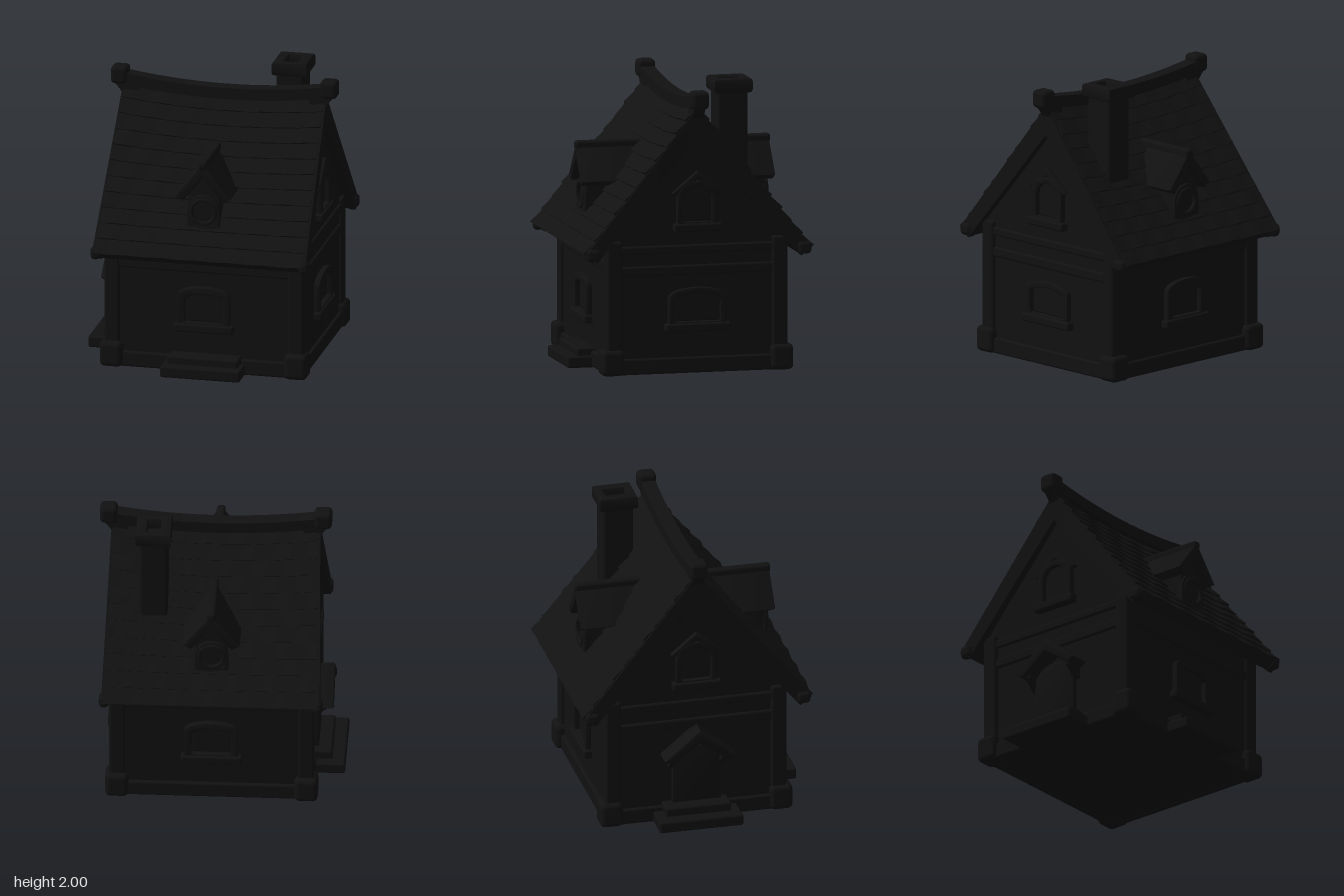
import * as THREE from 'three';
import { toCreasedNormals } from 'three/addons/utils/BufferGeometryUtils.js';
import { RoundedBoxGeometry } from 'three/addons/geometries/RoundedBoxGeometry.js';

const mat = new THREE.MeshStandardMaterial({ color: 0x111111 });

function add(parent, name, geo, x = 0, y = 0, z = 0) {
  const m = new THREE.Mesh(geo, mat);
  m.name = name;
  m.position.set(x, y, z);
  parent.add(m);
  return m;
}
const box = (parent, name, w, h, d, x, y, z, r = 0.015) =>
  add(parent, name, new RoundedBoxGeometry(w, h, d, 2, Math.min(r, w / 2.1, h / 2.1, d / 2.1)), x, y, z);

const polygon = pts => new THREE.Shape(pts.map(p => new THREE.Vector2(...p)));

function extrude(shape, depth, bevel = 0) {
  return toCreasedNormals(new THREE.ExtrudeGeometry(shape, {
    depth, curveSegments: 12, bevelEnabled: bevel > 0,
    bevelSize: bevel, bevelThickness: bevel, bevelOffset: -bevel, bevelSegments: 2,
  }), 0.6);
}

// Opening outline: straight sides with a curved top, from y0 up to y1
function archPath(Kind, half, y0, y1, rise) {
  const p = new Kind();
  p.moveTo(-half, y0);
  p.lineTo(half, y0);
  p.lineTo(half, y1 - rise);
  p.bezierCurveTo(half, y1 - rise * 0.4, half * 0.55, y1, 0, y1);
  p.bezierCurveTo(-half * 0.55, y1, -half, y1 - rise * 0.4, -half, y1 - rise);
  p.closePath();
  return p;
}

// Pitched slab pair, seen end-on as an inverted V
const chevron = (half, eave, apex, t) => polygon([
  [-half, eave], [-half + t * 0.75, eave - t * 0.45], [0, apex - t * 1.4],
  [half - t * 0.75, eave - t * 0.45], [half, eave], [0, apex],
]);

// Window facing +z with its back on z = 0
function makeWindow(name, half, y0, y1, rise, border) {
  const g = new THREE.Group();
  g.name = name;
  const frame = archPath(THREE.Shape, half + border, y0 - 0.03, y1 + border, rise + 0.02);
  frame.holes.push(archPath(THREE.Path, half, y0, y1, rise));
  add(g, 'windowFrame', extrude(frame, 0.03, 0.008), 0, 0, 0.004);
  box(g, 'windowPane', half * 2, y1 - y0, 0.02, 0, (y0 + y1) / 2, -0.002);
  box(g, 'windowSill', (half + border) * 2 + 0.05, 0.06, 0.075, 0, y0 - 0.04, 0.022);
  return g;
}

// Roof shell by moving box vertices: shingle rows step down each slope, the ridge sags
function roofShell(u0, u1, xSegs, rows, lift, drop) {
  const n = 2 * rows - 1;
  const geo = new THREE.BoxGeometry(1, 1, 2, xSegs, 1, 2 * n);
  const p = geo.attributes.position;
  for (let i = 0; i < p.count; i++) {
    const u = u0 + (u1 - u0) * (p.getX(i) + 0.5);
    const k = Math.round(p.getZ(i) * n), a = Math.abs(k), s = Math.sign(k);
    const outer = p.getY(i) > 0, row = Math.floor(a / 2);
    const t = outer ? (row + a % 2) / rows : a / n;
    const up = outer && a % 2 ? lift * (1 + 0.4 * Math.sin(u * 19 + row * 2.1)) : 0;
    const sag = 0.05 * (u * u - 1) * (1 - t);
    const z = outer ? 0.8 * t + up * 0.6 : 0.72 * t;
    const y = outer ? 1.84 - 0.99 * t + up * 0.5 : 1.67 - 0.87 * t - drop * (1 - t * 0.8);
    p.setXYZ(i, u * (0.7 + 0.035 * t), y + sag, s * z);
  }
  return toCreasedNormals(geo, 0.5);
}

function makeDormer() {
  const g = new THREE.Group();
  g.name = 'dormer';
  add(g, 'dormerWall', extrude(polygon([[-0.11, 0.99], [0.11, 0.99], [0.11, 1.29], [0, 1.45], [-0.11, 1.29]]), 0.4), 0, 0, 0.23);
  add(g, 'dormerRoof', extrude(chevron(0.195, 1.27, 1.52, 0.075), 0.5, 0.012), 0, 0, 0.17);
  box(g, 'dormerRidge', 0.06, 0.06, 0.5, 0, 1.5, 0.44, 0.02);
  const frame = archPath(THREE.Shape, 0.115, 1.0, 1.28, 0.12);
  frame.holes.push(new THREE.Path().absarc(0, 1.16, 0.075, 0, Math.PI * 2, true));
  add(g, 'dormerFrame', extrude(frame, 0.02, 0.006), 0, 0, 0.622);
  add(g, 'dormerWindowRing', new THREE.TorusGeometry(0.085, 0.014, 8, 28), 0, 1.16, 0.645);
  return g;
}

export function createModel() {
  const root = new THREE.Group();
  root.name = 'cottage';
  const house = new THREE.Group();
  house.name = 'house';
  house.position.x = 0.048;
  root.add(house);

  // Walls with gable ends
  const walls = polygon([[-0.615, 0.01], [0.615, 0.01], [0.615, 0.93], [0, 1.68], [-0.615, 0.93]]);
  add(house, 'walls', extrude(walls, 1.35), -0.675, 0, 0).rotation.y = Math.PI / 2;

  // Corner posts and their feet
  for (const sx of [-1, 1]) for (const sz of [-1, 1]) {
    box(house, 'cornerPost', 0.11, 0.92, 0.11, sx * 0.647, 0.47, sz * 0.583, 0.02);
    box(house, 'postFoot', 0.16, 0.18, 0.16, sx * 0.648, 0.09, sz * 0.597, 0.035);
  }

  // Plinth and wall beams
  for (const s of [-1, 1]) {
    box(house, 'plinthLong', 1.3, 0.11, 0.05, 0, 0.057, s * 0.615);
    box(house, 'plinthGable', 0.05, 0.11, 1.2, s * 0.675, 0.057, 0);
    box(house, 'wallBeam', 1.3, 0.07, 0.05, 0, 0.745, s * 0.605);
    box(house, 'gableBeamLow', 0.05, 0.07, 1.2, s * 0.668, 0.715, 0);
    box(house, 'gableBeamHigh', 0.05, 0.06, 1.2, s * 0.668, 0.86, 0);
  }

  // Shingled roof, bargeboards and eave ends
  add(house, 'roof', roofShell(-1, 1, 40, 11, 0.018, 0));
  for (const s of [-1, 1]) {
    const u = s * 0.985;
    add(house, 'bargeboard', roofShell(u - 0.035, u + 0.035, 1, 4, 0, 0.035));
    for (const sz of [-1, 1]) box(house, 'eaveEnd', 0.07, 0.09, 0.1, s * 0.731, 0.848, sz * 0.745, 0.03);
  }

  // Sagging ridge beam with raised ends
  const ridge = new THREE.BoxGeometry(1.44, 0.08, 0.1, 28, 1, 1);
  const rp = ridge.attributes.position;
  for (let i = 0; i < rp.count; i++) rp.setY(i, rp.getY(i) + 1.822 + 0.055 * (rp.getX(i) / 0.7) ** 2);
  add(house, 'ridgeBeam', toCreasedNormals(ridge, 0.6));
  for (const s of [-1, 1]) {
    box(house, 'ridgeEnd', 0.12, 0.125, 0.125, s * 0.735, 1.897, 0, 0.03);
    const neck = add(house, 'ridgeBracket', extrude(polygon([[0.6, 1.72], [0.7, 1.74], [0.725, 1.79], [0.775, 1.85], [0.6, 1.86]]), 0.08), 0, 0, s * -0.04);
    if (s < 0) neck.rotation.y = Math.PI;
  }

  // Chimney with a hollow cap
  box(house, 'chimneyShaft', 0.195, 0.68, 0.22, 0.41, 1.58, -0.3, 0.025);
  const cap = archPath(THREE.Shape, 0.122, -0.133, 0.133, 0.03);
  const capShape = polygon([[-0.122, -0.133], [0.122, -0.133], [0.122, 0.133], [-0.122, 0.133]]);
  capShape.holes.push(polygon([[-0.045, -0.075], [-0.045, 0.075], [0.045, 0.075], [0.045, -0.075]]));
  add(house, 'chimneyCap', extrude(capShape, 0.06, 0.02), 0.41, 1.92, -0.3).rotation.x = -Math.PI / 2;

  // Dormers and lower windows on the long sides
  for (const a of [0, Math.PI]) {
    const side = new THREE.Group();
    side.name = a ? 'backSide' : 'frontSide';
    side.rotation.y = a;
    side.add(makeDormer());
    const w = makeWindow('lowerWindow', 0.13, 0.36, 0.56, 0.05, 0.055);
    w.position.z = 0.613;
    side.add(w);
    house.add(side);
  }

  // Gable ends: arched upper windows with pointed hoods
  for (const s of [-1, 1]) {
    const end = new THREE.Group();
    end.name = s > 0 ? 'leftGable' : 'rightGable';
    end.rotation.y = s * Math.PI / 2;
    const upper = makeWindow('upperWindow', 0.1, 1.05, 1.29, 0.1, 0.045);
    upper.position.z = 0.672;
    end.add(upper);
    add(end, 'upperWindowHood', extrude(chevron(0.18, 1.25, 1.4, 0.04), 0.035, 0.006), 0, 0, 0.67);
    if (s > 0) {
      const lower = makeWindow('lowerWindow', 0.16, 0.36, 0.55, 0.05, 0.045);
      lower.position.z = 0.672;
      end.add(lower);
    } else {
      // Door with a gabled hood on brackets
      const frame = archPath(THREE.Shape, 0.17, 0.08, 0.56, 0.14);
      frame.holes.push(archPath(THREE.Path, 0.12, 0.08, 0.51, 0.12));
      add(end, 'doorFrame', extrude(frame, 0.035, 0.008), 0, 0, 0.67);
      add(end, 'door', extrude(archPath(THREE.Shape, 0.125, 0.08, 0.515, 0.12), 0.02), 0, 0, 0.662);
      add(end, 'doorKnob', new THREE.SphereGeometry(0.014, 12, 8), 0.085, 0.3, 0.69);
      add(end, 'doorHood', extrude(chevron(0.25, 0.5, 0.71, 0.07), 0.15, 0.012), 0, 0, 0.655);
      const bracket = extrude(polygon([[0.65, 0.39], [0.705, 0.4], [0.74, 0.44], [0.78, 0.47], [0.78, 0.52], [0.65, 0.52]]), 0.04);
      for (const x of [-0.2, 0.16]) add(end, 'hoodBracket', bracket, x + 0.04, 0, 0).rotation.y = -Math.PI / 2;
    }
    house.add(end);
  }

  // Stepped slabs at the door and at the front
  box(house, 'doorStepLow', 0.27, 0.08, 0.59, -0.763, 0.04, -0.01);
  box(house, 'doorStepHigh', 0.18, 0.14, 0.46, -0.718, 0.07, -0.01);
  box(house, 'frontStepLow', 0.56, 0.08, 0.23, 0.012, 0.04, 0.697);
  box(house, 'frontStepHigh', 0.5, 0.133, 0.16, 0.012, 0.067, 0.66);

  return root;
}
